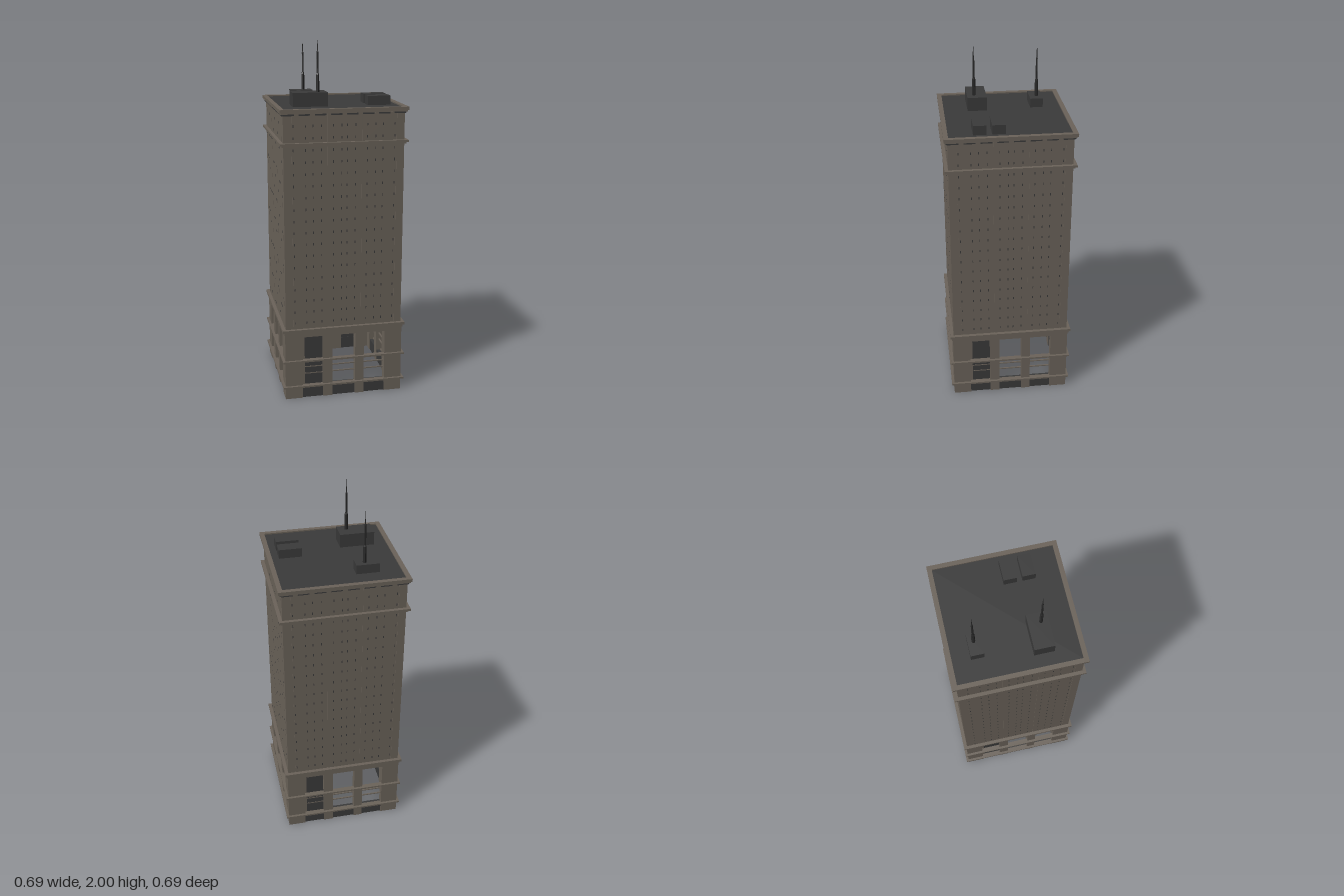
import * as THREE from 'three';
import { mergeGeometries } from 'three/addons/utils/BufferGeometryUtils.js';

const stone = new THREE.MeshStandardMaterial({ color: 0x6b635a });
stone.name = 'brown stone';
const dark = new THREE.MeshStandardMaterial({ color: 0x3a3a3a });
dark.name = 'dark grey';
const metal = new THREE.MeshStandardMaterial({ color: 0x2a2a2a, flatShading: true });
metal.name = 'antenna metal';

// Box given by its lower and upper corners
function boxGeo(x0, x1, y0, y1, z0, z1) {
  return new THREE.BoxGeometry(x1 - x0, y1 - y0, z1 - z0)
    .translate((x0 + x1) / 2, (y0 + y1) / 2, (z0 + z1) / 2);
}

function add(parent, name, material, ...geos) {
  const mesh = new THREE.Mesh(geos.length > 1 ? mergeGeometries(geos) : geos[0], material);
  mesh.name = name;
  parent.add(mesh);
  return mesh;
}

const slab = (half, y0, y1) => boxGeo(-half, half, y0, y1, -half, half);

// One side of the building, facing +z
function createSide() {
  const side = new THREE.Group();

  // Open ground floor: corner piers, inner piers and lintel
  const piers = [boxGeo(-0.333, 0.333, 0.365, 0.39, 0.293, 0.333)];
  for (const [a, b] of [[-0.333, -0.235], [-0.12, -0.065], [0.065, 0.115], [0.235, 0.333]]) {
    piers.push(boxGeo(a, b, 0, 0.365, 0.293, 0.333));
  }
  add(side, 'groundFloorPiers', stone, ...piers);

  // Dark sills under the bays and the closed bay
  const bays = [[-0.235, -0.12], [-0.065, 0.065], [0.115, 0.235]];
  add(side, 'baySills', dark, ...bays.map(([a, b]) => boxGeo(a, b, 0, 0.07, 0.298, 0.326)));
  add(side, 'closedBay', dark, boxGeo(-0.222, -0.12, 0.07, 0.365, 0.3, 0.315));
  add(side, 'closedBayFrame', stone, boxGeo(-0.235, -0.222, 0.07, 0.365, 0.298, 0.32));

  // String courses and rails crossing the bays
  add(side, 'stringCourses', stone,
    ...[0.072, 0.225].map(y => boxGeo(-0.347, 0.347, y - 0.005, y + 0.005, 0.318, 0.347)));
  add(side, 'rails', stone,
    ...[0.14, 0.18].map(y => boxGeo(-0.3, 0.3, y - 0.003, y + 0.003, 0.308, 0.316)));

  // Tall wall panels with narrow joints
  const panels = [];
  for (const [a, b] of [[-0.328, -0.286], [-0.283, -0.096], [-0.093, 0.093], [0.096, 0.283], [0.286, 0.328]]) {
    panels.push(boxGeo(a, b, 0.41, 1.445, 0.322, 0.328), boxGeo(a, b, 1.45, 1.605, 0.322, 0.328));
  }
  add(side, 'wallPanels', stone, ...panels);

  // Small window slits in regular rows
  const slits = [];
  for (let row = 0; row < 18; row++) {
    const y = 0.45 + row * 0.0643;
    if (Math.abs(y - 1.447) < 0.025) continue;
    for (const x of [0.015, 0.06, 0.125, 0.17, 0.21, 0.275]) {
      for (const s of [-1, 1]) {
        slits.push(new THREE.PlaneGeometry(0.005, 0.014).translate(s * x, y, 0.3286));
      }
    }
  }
  add(side, 'windowSlits', dark, ...slits);

  // Cornice brackets and parapet rim
  const brackets = [];
  for (let i = 0; i < 8; i++) {
    const x = -0.301 + i * 0.086;
    brackets.push(boxGeo(x - 0.03, x + 0.03, 1.598, 1.608, 0.32, 0.336));
  }
  add(side, 'corniceBrackets', dark, ...brackets);
  add(side, 'parapetRim', stone, boxGeo(-0.347, 0.347, 1.618, 1.632, 0.322, 0.347));
  return side;
}

function createAntenna(x, base, top, z) {
  const h = top - base;
  const profile = [[0, 0], [0.01, 0], [0.009, h * 0.3], [0.006, h * 0.33], [0.005, h * 0.7], [0.003, h * 0.73], [0, h]]
    .map(([r, y]) => new THREE.Vector2(r, y));
  const mesh = new THREE.Mesh(new THREE.LatheGeometry(profile, 6), metal);
  mesh.name = 'antenna';
  mesh.position.set(x, base, z);
  return mesh;
}

export function createModel() {
  const model = new THREE.Group();
  model.name = 'tower';

  // The four sides repeat around the centre
  for (let i = 0; i < 4; i++) {
    const side = createSide();
    side.name = 'side' + (i + 1);
    side.rotation.y = i * Math.PI / 2;
    model.add(side);
  }

  // Solid core with projecting ledges
  add(model, 'core', stone, slab(0.325, 0.385, 1.615));
  add(model, 'lowerLedge', stone, slab(0.338, 0.385, 0.4), slab(0.347, 0.4, 0.415));
  add(model, 'upperLedge', stone, slab(0.338, 1.434, 1.443), slab(0.347, 1.443, 1.455));
  add(model, 'cornice', stone, slab(0.341, 1.607, 1.614), slab(0.346, 1.614, 1.62));
  add(model, 'roof', dark, slab(0.3225, 1.615, 1.625));

  // Rooftop plant boxes
  const boxes = [
    [-0.252, -0.062, 1.7, 0.085, 0.191],
    [-0.205, -0.08, 1.675, -0.227, -0.157],
    [0.16, 0.285, 1.675, 0.023, 0.093],
    [0.16, 0.285, 1.675, 0.122, 0.192],
  ];
  for (const [x0, x1, top, z0, z1] of boxes) {
    add(model, 'roofBox', dark, boxGeo(x0, x1, 1.62, top, z0, z1));
  }
  model.add(createAntenna(-0.11, 1.7, 2, 0.152), createAntenna(-0.13, 1.675, 1.975, -0.197));
  return model;
}
